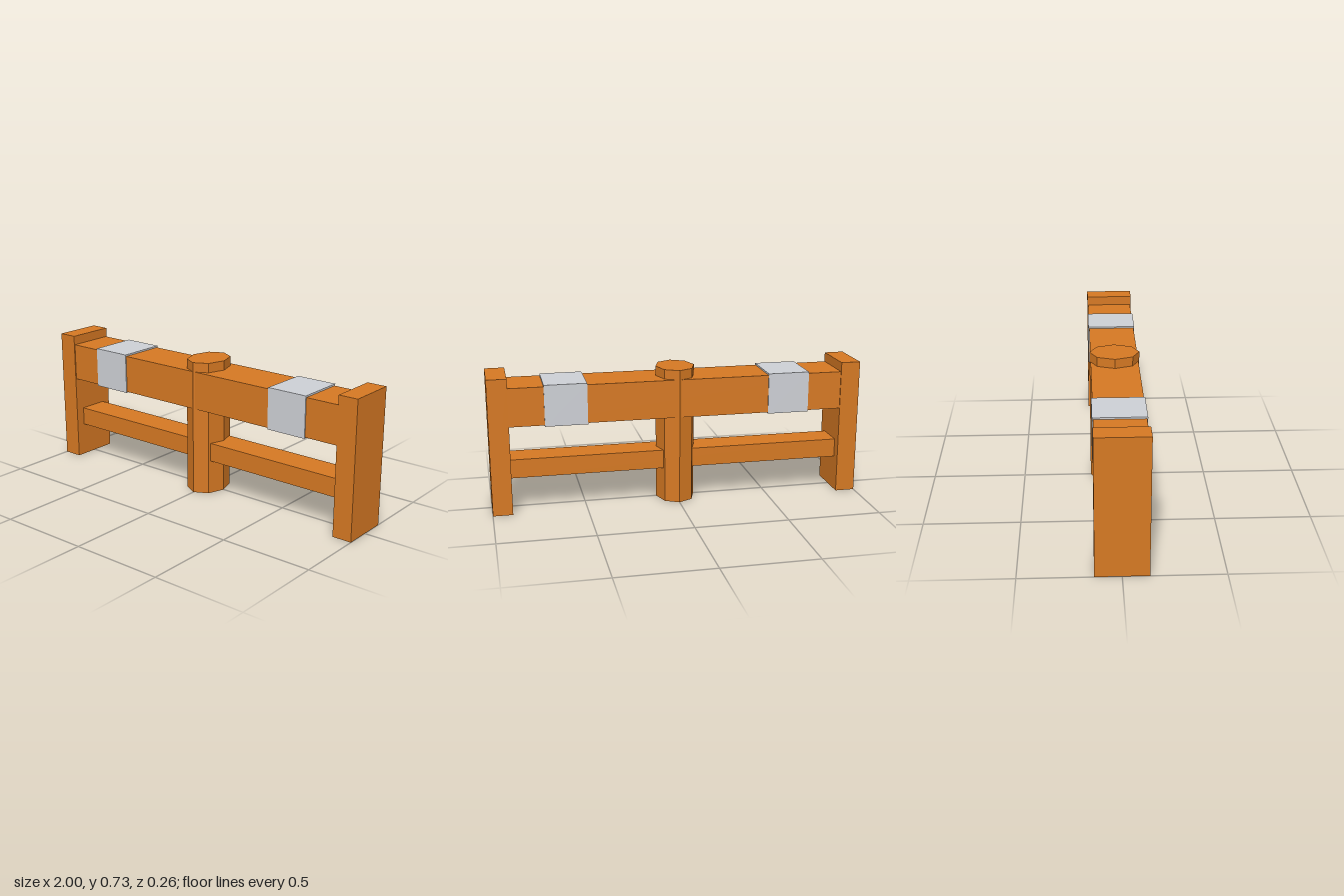
import * as THREE from 'three';

export function createModel() {
  const model = new THREE.Group();
  model.name = 'fence';

  const wood = new THREE.MeshStandardMaterial({ color: 0xd67923 });
  wood.name = 'orange wood';
  const metal = new THREE.MeshStandardMaterial({ color: 0xced1d6 });
  metal.name = 'light grey';

  // Box given by its limits in x and y and its half depth
  function box(name, material, x0, x1, y0, y1, halfDepth) {
    const mesh = new THREE.Mesh(new THREE.BoxGeometry(x1 - x0, y1 - y0, halfDepth * 2), material);
    mesh.position.set((x0 + x1) / 2, (y0 + y1) / 2, 0);
    mesh.name = name;
    model.add(mesh);
  }

  const height = 0.734;

  // Thick upper beam through the middle post
  box('upperBeam', wood, -0.895, 0.895, 0.478, 0.683, 0.127);

  // Thin lower rail
  box('lowerRail', wood, -0.895, 0.895, 0.186, 0.287, 0.081);

  // End posts and the bands wrapped round the beam, mirrored
  for (const [side, s] of [['left', 1], ['right', -1]]) {
    const span = (a, b) => (s > 0 ? [a, b] : [-b, -a]);
    box(side + 'EndPost', wood, ...span(0.895, 1), 0, height, 0.132);
    box(side + 'Band', metal, ...span(0.487, 0.711), 0.472, 0.692, 0.132);
  }

  // Eight-sided middle post, slightly deeper than wide
  const post = new THREE.CylinderGeometry(1, 1, height, 8).toNonIndexed();
  post.scale(0.105, 1, 0.132);
  post.computeVertexNormals();
  const middlePost = new THREE.Mesh(post, wood);
  middlePost.position.y = height / 2;
  middlePost.name = 'middlePost';
  model.add(middlePost);

  return model;
}
